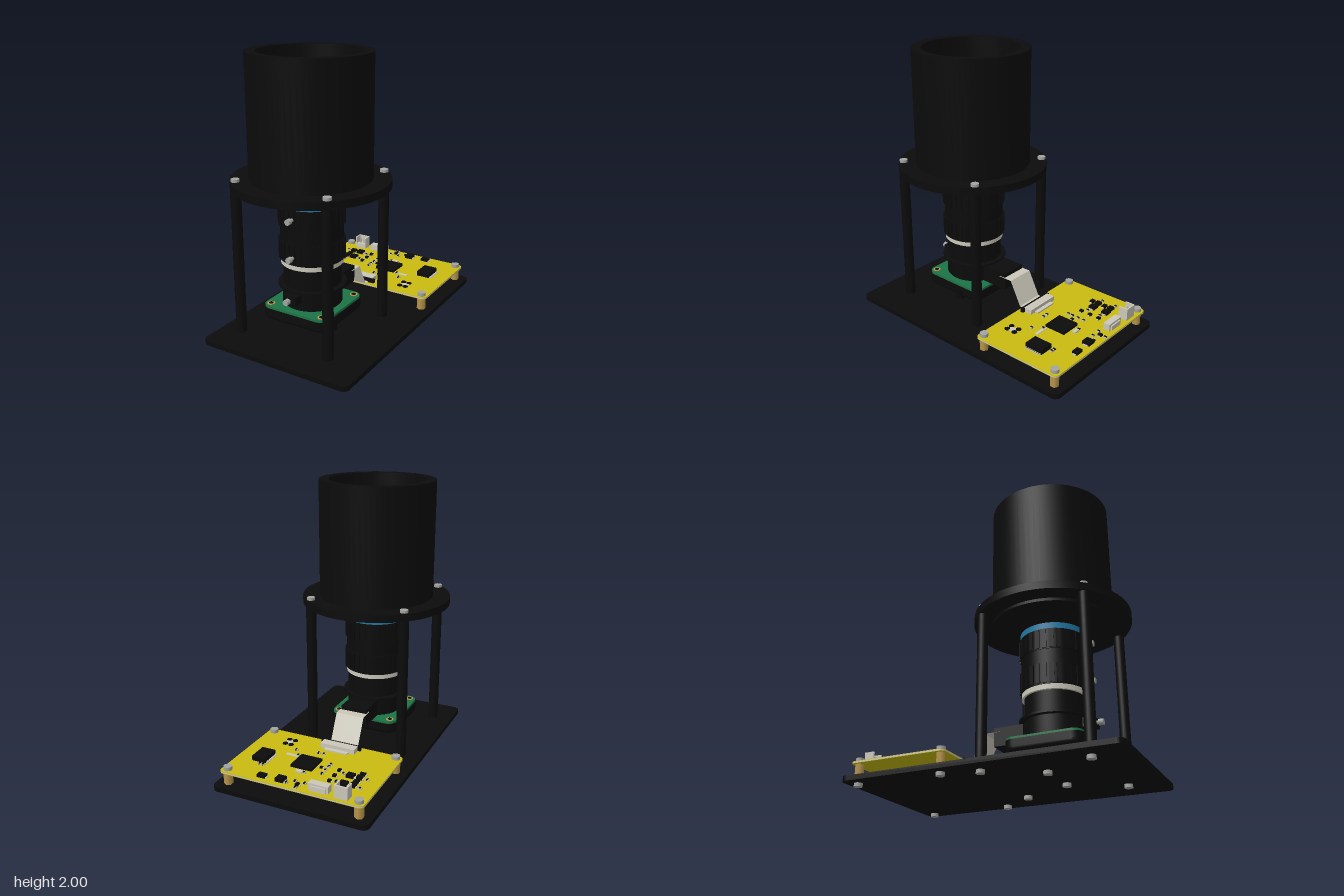
import * as THREE from 'three';
import { toCreasedNormals } from 'three/addons/utils/BufferGeometryUtils.js';

const mat = (name, color, side = THREE.FrontSide) => {
  const m = new THREE.MeshStandardMaterial({ color, side });
  m.name = name;
  return m;
};

export function createModel() {
  const black = mat('black', 0x0b0b0b);
  const yellow = mat('board yellow', 0xc9bb10);
  const cream = mat('cream', 0xcbc8ba, THREE.DoubleSide);
  const steel = mat('steel', 0xa3a3a0);
  const brass = mat('brass', 0xb9964a);
  const green = mat('board green', 0x1c7446);
  const blue = mat('ring blue', 0x2279a3);

  const model = new THREE.Group();
  const CX = -0.05, CZ = 0.355; // optical axis
  const add = (name, geo, material, x = 0, y = 0, z = 0, parent = model) => {
    const m = new THREE.Mesh(geo, material);
    m.name = name;
    m.position.set(x, y, z);
    parent.add(m);
    return m;
  };
  const group = (name) => {
    const g = new THREE.Group();
    g.name = name;
    model.add(g);
    return g;
  };
  // upright cylinder between two heights
  const cyl = (name, material, x, z, y0, y1, r, seg = 24, parent = model) =>
    add(name, new THREE.CylinderGeometry(r, r, y1 - y0, seg), material, x, (y0 + y1) / 2, z, parent);
  const box = (name, material, x, z, y0, y1, w, d, parent = model) =>
    add(name, new THREE.BoxGeometry(w, y1 - y0, d), material, x, (y0 + y1) / 2, z, parent);
  const lathe = (name, material, pts, parent = model) =>
    add(name, toCreasedNormals(new THREE.LatheGeometry(pts.map((p) => new THREE.Vector2(...p)), 64), 0.5),
      material, CX, 0, CZ, parent);
  // flat plate with rounded corners and optional bevelled rims
  const plate = (name, material, x, z, y0, y1, w, d, r, bevel = 0, parent = model) => {
    const s = new THREE.Shape(), a = w / 2 - bevel, b = d / 2 - bevel;
    s.absarc(a - r, b - r, r, 0, Math.PI / 2);
    s.absarc(-a + r, b - r, r, Math.PI / 2, Math.PI);
    s.absarc(-a + r, -b + r, r, Math.PI, Math.PI * 1.5);
    s.absarc(a - r, -b + r, r, Math.PI * 1.5, Math.PI * 2);
    const g = new THREE.ExtrudeGeometry(s, {
      depth: y1 - y0 - 2 * bevel, curveSegments: 8, bevelEnabled: bevel > 0,
      bevelSize: bevel, bevelThickness: bevel, bevelSegments: 4,
    });
    g.translate(0, 0, bevel).rotateX(-Math.PI / 2);
    return add(name, toCreasedNormals(g, 0.6), material, x, y0, z, parent);
  };

  // Base plate
  plate('basePlate', black, 0.015, 0, 0.03, 0.065, 1.15, 1.905, 0.045);
  const bottomScrew = (x, z) => cyl('bottomScrew', steel, x, z, 0.005, 0.03, 0.029, 16);

  // Four legs with screws at both ends
  for (const x of [-0.41, 0.31]) for (const z of [-0.005, 0.715]) {
    cyl('leg', black, x, z, 0.065, 1.105, 0.037);
    cyl('legTopScrew', steel, x, z, 1.15, 1.175, 0.029, 16);
    bottomScrew(x, z);
  }

  // Hood: tube and flange with a stepped bore and a funnel down to the lens
  lathe('hood', black, [
    [0.2, 1.02], [0.24, 1.08], [0.42, 1.08], [0.42, 1.1], [0.545, 1.1], [0.545, 1.155], [0.42, 1.155],
    [0.42, 2], [0.35, 2], [0.35, 1.73], [0.22, 1.7], [0.22, 1.1], [0.19, 1.02], [0.2, 1.02],
  ]);

  // Lens
  const lens = group('lens');
  const ring = (name, m, y0, y1, r) => cyl(name, m, CX, CZ, y0, y1, r, 64, lens);
  ring('blueRing', blue, 0.98, 1.022, 0.225);
  ring('upperGrip', black, 0.835, 0.98, 0.225);
  ring('gripNeck', black, 0.73, 0.84, 0.219);
  ring('lowerGrip', black, 0.587, 0.735, 0.225);
  ring('creamRing', cream, 0.552, 0.587, 0.219);
  ring('lowerBarrel', black, 0.25, 0.552, 0.203);
  ring('barrelFlange', black, 0.388, 0.402, 0.24);
  ring('clampRing', black, 0.26, 0.385, 0.21);
  // raised ribs of the two grips
  for (let i = 0; i < 30; i++) {
    const a = (i / 30) * Math.PI * 2;
    for (const [y0, y1] of [[0.84, 0.972], [0.594, 0.73]]) {
      const rib = box('gripRib', black, CX + 0.225 * Math.sin(a), CZ + 0.225 * Math.cos(a), y0, y1, 0.03, 0.014, lens);
      rib.rotation.y = a;
    }
  }
  // locking screws facing the front
  for (const [y, z0, z1] of [[0.915, 0.57, 0.615], [0.645, 0.57, 0.615], [0.355, 0.62, 0.655]]) {
    add('lockScrewShank', new THREE.CylinderGeometry(0.012, 0.012, z1 - z0, 12).rotateX(Math.PI / 2),
      steel, CX, y, (z0 + z1) / 2, lens);
    add('lockScrewHead', new THREE.CylinderGeometry(0.021, 0.021, 0.032, 16).rotateX(Math.PI / 2),
      steel, CX, y, z1 + 0.014, lens);
  }
  box('clampLug', black, CX, 0.59, 0.325, 0.385, 0.1, 0.1, lens);
  box('mountFoot', black, CX, 0.06, 0.257, 0.385, 0.2, 0.21, lens);

  // Camera board in its rounded holder, on two posts
  plate('holderBottom', black, CX, CZ, 0.15, 0.22, 0.53, 0.53, 0.05, 0.034);
  plate('holderRim', black, CX, CZ, 0.185, 0.235, 0.53, 0.53, 0.075);
  plate('cameraBoard', green, CX, CZ, 0.235, 0.252, 0.515, 0.515, 0.065);
  for (const sx of [-1, 1]) {
    for (const sz of [-1, 1]) {
      cyl('boardPad', brass, CX + sx * 0.21, CZ + sz * 0.21, 0.25, 0.256, 0.028);
      cyl('boardHole', black, CX + sx * 0.21, CZ + sz * 0.21, 0.25, 0.258, 0.016);
    }
    cyl('holderPost', black, CX + sx * 0.162, 0.36, 0.065, 0.17, 0.036);
    bottomScrew(CX + sx * 0.162, 0.36);
  }

  // Driver board: pale core between yellow faces
  const board = group('driverBoard');
  const bx = 0.018, bz = -0.565, top = 0.17;
  plate('boardCore', cream, bx, bz, 0.158, 0.167, 1.065, 0.7, 0.035, 0, board);
  plate('boardTop', yellow, bx, bz, 0.167, top, 1.065, 0.7, 0.035, 0, board);
  plate('boardUnderside', yellow, bx, bz, 0.155, 0.158, 1.065, 0.7, 0.035, 0, board);
  for (const x of [-0.47, 0.505]) for (const z of [-0.87, -0.255]) {
    cyl('standoff', brass, x, z, 0.065, 0.155, 0.032, 6);
    cyl('boardScrew', steel, x, z, top, 0.195, 0.03, 16);
    bottomScrew(x, z);
  }

  // Chips with pale contacts: x, z, width, depth, height
  const chips = [
    [0.057, -0.583, 0.16, 0.16, 0.02], [0.37, -0.625, 0.105, 0.14, 0.035],
    [-0.355, -0.718, 0.04, 0.038, 0.02], [-0.29, -0.72, 0.055, 0.05, 0.02],
    [-0.355, -0.664, 0.038, 0.03, 0.015], [-0.355, -0.61, 0.04, 0.038, 0.02],
    [-0.29, -0.61, 0.055, 0.05, 0.02], [-0.355, -0.558, 0.038, 0.03, 0.015],
    [-0.19, -0.725, 0.025, 0.025, 0.015], [-0.19, -0.65, 0.025, 0.025, 0.015],
    [-0.19, -0.575, 0.025, 0.025, 0.015], [0.108, -0.847, 0.06, 0.058, 0.025],
    [0.245, -0.855, 0.06, 0.042, 0.02], [-0.022, -0.855, 0.025, 0.03, 0.015],
    [-0.06, -0.588, 0.02, 0.02, 0.01],
  ];
  for (const [x, z, w, d, h] of chips) {
    box('chip', black, x, z, top, top + h, w, d, board);
    if (w < 0.1) box('chipContacts', cream, x, z, top, top + 0.006, w + 0.02, d * 0.6, board);
  }
  for (let i = 0; i < 8; i++) box('chipPin', cream, 0.37, -0.684 + i * 0.017, top, top + 0.008, 0.135, 0.008, board);

  // Small passive parts
  const passives = [
    [-0.41, -0.725], [-0.41, -0.61], [-0.23, -0.71], [-0.23, -0.6], [-0.1, -0.66], [-0.1, -0.61],
    [-0.1, -0.56], [-0.1, -0.525], [-0.025, -0.895], [0.06, -0.86], [0.01, -0.415], [0.05, -0.415],
    [0.165, -0.505], [0.215, -0.44], [0.32, -0.72], [0.345, -0.72], [0.015, -0.7], [-0.055, -0.82], [0.015, -0.82],
  ];
  for (const [x, z] of passives) {
    box('passivePart', cream, x, z, top, top + 0.01, 0.026, 0.018, board);
    box('passiveBody', black, x, z, top, top + 0.012, 0.013, 0.018, board);
  }
  box('crystal', cream, 0.05, -0.7, top, top + 0.012, 0.045, 0.028, board);
  box('tracePatch', cream, 0.2, -0.512, top, top + 0.002, 0.11, 0.025, board);
  for (const x of [0.29, 0.336]) for (const z of [-0.385, -0.32]) cyl('contactDot', black, x, z, top, top + 0.005, 0.02, 12, board);
  cyl('contactStar', cream, 0.32, -0.35, top, top + 0.004, 0.03, 6, board);

  // Upright plug socket: floor, back and cheeks
  box('socketFloor', cream, -0.35, -0.855, top, 0.205, 0.095, 0.07, board);
  box('socketBack', cream, -0.35, -0.884, top, 0.26, 0.095, 0.012, board);
  for (const s of [-1, 1]) box('socketCheek', cream, -0.35 + s * 0.042, -0.855, top, 0.26, 0.012, 0.07, board);
  for (const s of [-1, 1]) box('socketPin', steel, -0.35 + s * 0.018, -0.852, 0.2, 0.24, 0.01, 0.01, board);
  // Low wide socket
  box('wideSocket', cream, -0.18, -0.847, top, 0.22, 0.145, 0.05, board);
  box('wideSocketTop', cream, -0.18, -0.872, top, 0.205, 0.11, 0.02, board);

  // Ribbon connector and its cable
  box('ribbonConnector', cream, -0.05, -0.295, top, 0.205, 0.265, 0.065, board);
  box('ribbonContacts', cream, -0.05, -0.34, top, top + 0.01, 0.18, 0.035, board);
  box('ribbonLatch', black, -0.05, -0.255, top, 0.2, 0.305, 0.024, board);
  const path = [[0.0, 0.355], [-0.11, 0.355], [-0.2, 0.178], [-0.25, 0.178]];
  for (let i = 0; i < 3; i++) {
    const [z0, y0] = path[i], [z1, y1] = path[i + 1];
    const g = new THREE.PlaneGeometry(0.215, Math.hypot(z1 - z0, y1 - y0)).rotateX(Math.PI / 2);
    const m = add('ribbonCable', g, cream, CX, (y0 + y1) / 2, (z0 + z1) / 2);
    m.rotation.x = Math.atan2(y0 - y1, z1 - z0) + Math.PI;
  }
  return model;
}
